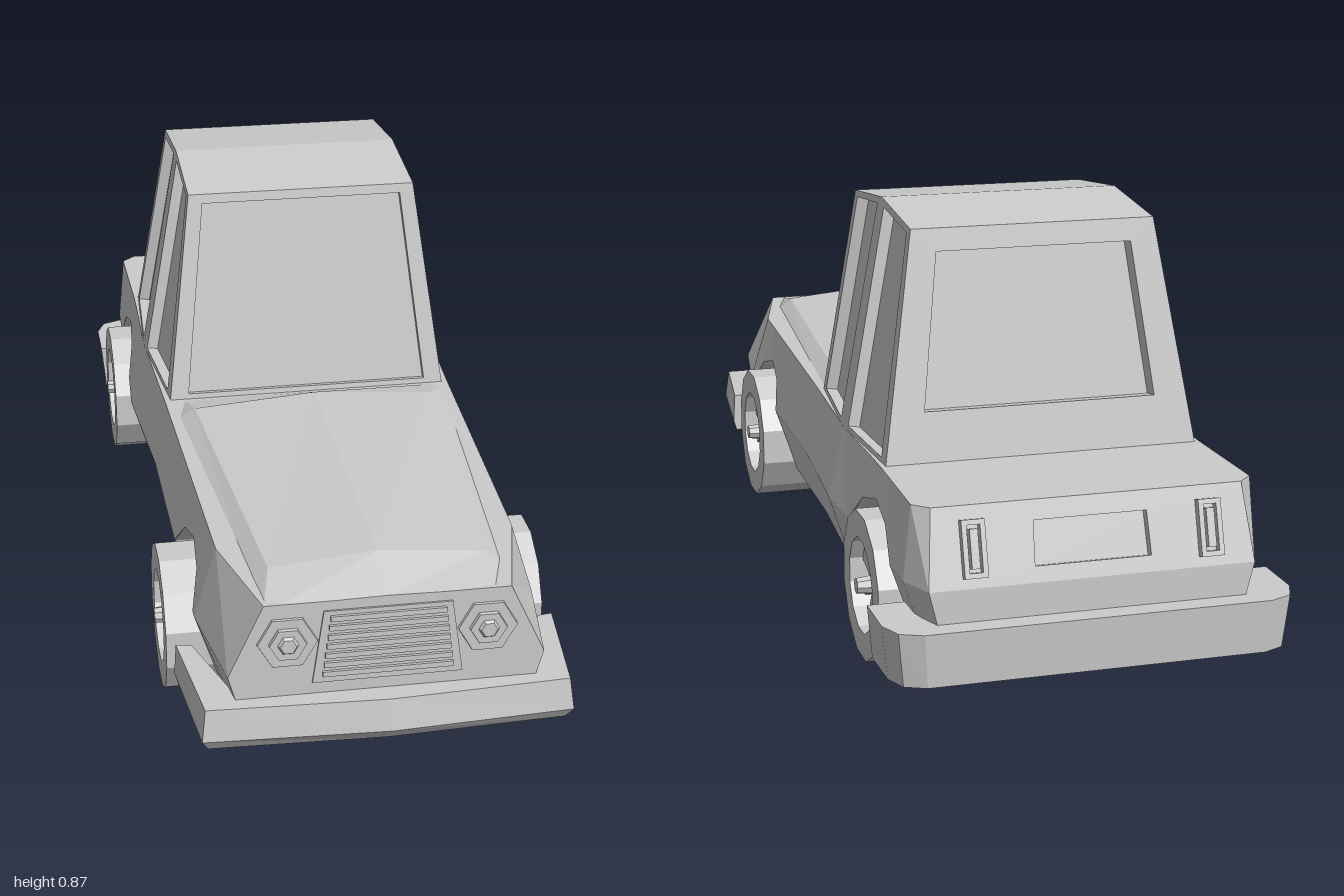
import * as THREE from 'three';

const mat = new THREE.MeshStandardMaterial({ color: 0xcccccc, flatShading: true });
const shellMat = new THREE.MeshStandardMaterial({ color: 0xcccccc, flatShading: true, side: THREE.DoubleSide });
const lerp = THREE.MathUtils.lerp;

function add(parent, name, geometry, x = 0, y = 0, z = 0, material = mat) {
  const mesh = new THREE.Mesh(geometry, material);
  mesh.name = name;
  mesh.position.set(x, y, z);
  parent.add(mesh);
  return mesh;
}

// Flat-shaded surface from counter-clockwise polygons
function surface(polygons) {
  const pos = [];
  for (const p of polygons)
    for (let i = 1; i < p.length - 1; i++) pos.push(...p[0], ...p[i], ...p[i + 1]);
  const g = new THREE.BufferGeometry();
  g.setAttribute('position', new THREE.Float32BufferAttribute(pos, 3));
  g.computeVertexNormals();
  return g;
}

// Skin over matching closed rings, with optional end caps
function loft(rings, capStart = true, capEnd = true) {
  const faces = [], n = rings[0].length;
  for (let i = 0; i < rings.length - 1; i++)
    for (let j = 0; j < n; j++) {
      const k = (j + 1) % n;
      faces.push([rings[i][j], rings[i][k], rings[i + 1][k], rings[i + 1][j]]);
    }
  if (capStart) faces.push([...rings[0]].reverse());
  if (capEnd) faces.push(rings[rings.length - 1]);
  return surface(faces);
}

// Four-cornered panel with a recessed pane
function framedPanel(parent, name, [bl, br, tr, tl], [u0, u1, v0, v1], depth) {
  const V = (p) => new THREE.Vector3(...p);
  const at = (u, v) => V(bl).lerp(V(br), u).lerp(V(tl).lerp(V(tr), u), v);
  const normal = V(br).sub(V(bl)).cross(V(tl).sub(V(bl))).normalize();
  const outer = [bl, br, tr, tl];
  const holes = [at(u0, v0), at(u1, v0), at(u1, v1), at(u0, v1)];
  const inner = holes.map((p) => p.toArray());
  const deep = holes.map((p) => p.clone().addScaledVector(normal, -depth).toArray());
  const faces = [];
  for (let i = 0; i < 4; i++) {
    const k = (i + 1) % 4;
    faces.push([outer[i], outer[k], inner[k], inner[i]], [inner[i], inner[k], deep[k], deep[i]]);
  }
  add(parent, name + 'Frame', surface(faces), 0, 0, 0, shellMat);
  add(parent, name + 'Pane', surface([deep]), 0, 0, 0, shellMat);
}

const WHEELS = [-0.63, 0.525], ARCH = 0.177, AXLE = 0.148, DECK = 0.39;

// z, bottom half-width, waist half-width, deck half-width
const WIDTHS = [
  [-0.955, 0.29, 0.325, 0.31], [-0.88, 0.31, 0.355, 0.34], [-0.6, 0.32, 0.36, 0.335],
  [-0.33, 0.33, 0.375, 0.34], [0, 0.31, 0.352, 0.325], [0.7, 0.3, 0.346, 0.3], [0.94, 0.27, 0.31, 0.24],
];

function halfWidth(z, y) {
  let i = 0;
  while (i < WIDTHS.length - 2 && z > WIDTHS[i + 1][0]) i++;
  const a = WIDTHS[i], b = WIDTHS[i + 1], t = (z - a[0]) / (b[0] - a[0]);
  const [low, mid, top] = [1, 2, 3].map((k) => lerp(a[k], b[k], t));
  return y < 0.24 ? lerp(low, mid, (y - 0.1) / 0.14) : lerp(mid, top, (y - 0.24) / 0.15);
}

function buildBody(car) {
  // Columns along the car; the lower edge rises over each wheel
  const columns = [-0.955, -0.88, -0.33, 0, 0.2, 0.94].map((z) => [z, 0.1]);
  for (const c of WHEELS) {
    columns.push([c - ARCH, 0.1]);
    for (let i = 0; i <= 6; i++) {
      const a = Math.PI * (1 - i / 6);
      columns.push([c + ARCH * Math.cos(a), AXLE + ARCH * Math.sin(a)]);
    }
    columns.push([c + ARCH + 1e-4, 0.1]);
  }
  columns.sort((a, b) => a[0] - b[0]);
  const rings = columns.map(([z, yb]) => {
    const mid = Math.max(0.24, yb), topZ = Math.max(z, -0.91);
    const half = [
      [0.21, 0.1, z], [0.21, yb, z], [halfWidth(z, yb), yb, z],
      [halfWidth(z, mid), mid, z], [halfWidth(z, DECK), DECK, z < -0.9 ? topZ : z],
    ];
    return [...half, ...half.map(([x, y, d]) => [-x, y, d]).reverse()];
  });
  add(car, 'body', loft(rings, false, true), 0, 0, 0, shellMat);

  // Tail: lower panel, and upper panel with the plate recess
  const [r] = rings;
  add(car, 'lowerTail', surface([[r[2], r[7], r[6], r[3]]]), 0, 0, 0, shellMat);
  framedPanel(car, 'plateRecess', [r[3], r[6], r[5], r[4]], [0.32, 0.68, 0.2, 0.75], 0.02);

  // Crowned hood: z, edge half-width, shoulder half-width, shoulder y, crown y
  const hood = [
    [0.005, 0.315, 0.28, 0.39, 0.392], [0.09, 0.308, 0.268, 0.41, 0.43],
    [0.83, 0.25, 0.215, 0.41, 0.43], [0.94, 0.24, 0.21, 0.388, 0.392],
  ].map(([z, e, s, ys, yc]) => [
    [-e, 0.385, z], [e, 0.385, z], [s, ys, z], [0, yc, z], [-s, ys, z],
  ]);
  add(car, 'hood', loft(hood));
}

function buildCabin(car) {
  const cabin = new THREE.Group();
  cabin.name = 'cabin';
  car.add(cabin);
  // Base and roof corner at the front, middle and rear, on the left
  const base = [[0.312, DECK, -0.005], [0.341, DECK, -0.32], [0.325, DECK, -0.63]];
  const roof = [[0.253, 0.847, -0.085], [0.253, 0.872, -0.32], [0.253, 0.847, -0.555]];
  const flip = ([x, y, z]) => [-x, y, z];
  framedPanel(cabin, 'windscreen', [flip(base[0]), base[0], roof[0], flip(roof[0])], [0.065, 0.935, 0.025, 0.955], 0.015);
  framedPanel(cabin, 'rearWindow', [base[2], flip(base[2]), flip(roof[2]), roof[2]], [0.11, 0.89, 0.22, 0.9], 0.04);
  for (let i = 0; i < 2; i++) {
    const name = ['frontWindow', 'backWindow'][i];
    const corners = [base[i], base[i + 1], roof[i + 1], roof[i]];
    const mirrored = [base[i + 1], base[i], roof[i], roof[i + 1]].map(flip);
    framedPanel(cabin, name + 'Left', corners, [0.12, 0.89, 0.02, 0.97], 0.025);
    framedPanel(cabin, name + 'Right', mirrored, [0.11, 0.88, 0.02, 0.97], 0.025);
  }
  add(cabin, 'roof', surface([0, 1].map((i) =>
    [flip(roof[i]), roof[i], roof[i + 1], flip(roof[i + 1])])), 0, 0, 0, shellMat);
}

// Bumper from plan stations [outer x, outer z, inner x, inner z] and profile [reach, y]
function bumper(car, name, stations, profile) {
  const rings = stations.map(([ox, oz, ix, iz]) =>
    profile.map(([t, y]) => [lerp(ix, ox, t), y, lerp(iz, oz, t)]));
  add(car, name, loft(rings));
}

function buildWheel(car, x, z, side) {
  const wheel = new THREE.Group();
  wheel.name = 'wheel';
  wheel.position.set(x, AXLE, z);
  wheel.rotation.y = side * Math.PI / 2; // local +z points outward
  car.add(wheel);
  const ring = (n, r) => Array.from({ length: n }, (_, i) => {
    const a = ((i + 0.5) / n) * Math.PI * 2;
    return new THREE.Vector2(r * Math.cos(a), r * Math.sin(a));
  });
  const tyre = new THREE.Shape(ring(12, 0.153));
  tyre.holes.push(new THREE.Path(ring(12, 0.098)));
  add(wheel, 'tyre', new THREE.ExtrudeGeometry(tyre, { depth: 0.145, bevelEnabled: false }), 0, 0, -0.0725);
  // Wedge spokes around a hub
  const wedge = new THREE.Shape([[0.01, -0.007], [0.1, -0.017], [0.1, 0.017], [0.01, 0.007]].map((p) => new THREE.Vector2(...p)));
  const spoke = new THREE.ExtrudeGeometry(wedge, { depth: 0.02, bevelEnabled: false });
  for (let i = 0; i < 8; i++)
    add(wheel, 'spoke', spoke, 0, 0, 0.025).rotation.z = ((i + 0.5) * Math.PI) / 4;
  add(wheel, 'hub', new THREE.CylinderGeometry(0.016, 0.022, 0.06, 8), 0, 0, 0.052).rotation.x = Math.PI / 2;
}

function buildLights(car) {
  for (const s of [-1, 1]) {
    // Hexagonal headlight: plate, raised ring and lens
    const hex = (name, r0, r1, depth, z) => {
      const g = new THREE.CylinderGeometry(r1, r0, depth, 6);
      g.rotateY(Math.PI / 6).rotateX(Math.PI / 2);
      add(car, name, g, s * 0.195, 0.308, z);
    };
    hex('headlightPlate', 0.06, 0.058, 0.008, 0.941);
    hex('headlightRing', 0.038, 0.036, 0.014, 0.946);
    hex('headlightLens', 0.024, 0.016, 0.01, 0.954);
    // Tail light: frame around a narrow lens, leaning with the tail
    const tail = new THREE.Group();
    tail.name = 'tailLight';
    tail.position.set(s * 0.235, 0.312, -0.936);
    tail.rotation.x = 0.29;
    car.add(tail);
    for (const k of [-1, 1]) {
      add(tail, 'lightFrameSide', new THREE.BoxGeometry(0.01, 0.11, 0.03), k * 0.018);
      add(tail, 'lightFrameEnd', new THREE.BoxGeometry(0.046, 0.01, 0.03), 0, k * 0.05);
    }
    add(tail, 'lightLens', new THREE.BoxGeometry(0.016, 0.075, 0.03));
  }
  // Grille plate with slats
  const plate = new THREE.Shape([[-0.147, 0.215], [0.147, 0.215], [0.125, 0.37], [-0.125, 0.37]].map((p) => new THREE.Vector2(...p)));
  add(car, 'grillePlate', new THREE.ExtrudeGeometry(plate, { depth: 0.004, bevelEnabled: false }), 0, 0, 0.94);
  for (let i = 0; i < 7; i++)
    add(car, 'grilleSlat', new THREE.BoxGeometry(0.225 + i * 0.005, 0.011, 0.01), 0, 0.355 - i * 0.02, 0.945);
}

export function createModel() {
  const car = new THREE.Group();
  car.name = 'car';
  buildBody(car);
  buildCabin(car);
  bumper(car, 'frontBumper', [
    [0.39, 0.72, 0.355, 0.725], [0.365, 0.978, 0.3, 0.9], [0, 0.997, 0, 0.9],
    [-0.365, 0.978, -0.3, 0.9], [-0.39, 0.72, -0.355, 0.725],
  ], [[0, 0.1], [0.8, 0.1], [1, 0.125], [0.88, 0.19], [0, 0.19]]);
  bumper(car, 'rearBumper', [
    [-0.41, -0.815, -0.33, -0.815], [-0.41, -0.93, -0.31, -0.9], [-0.39, -0.98, -0.3, -0.92], [-0.345, -1, -0.28, -0.93],
    [0.345, -1, 0.28, -0.93], [0.39, -0.98, 0.3, -0.92], [0.41, -0.93, 0.31, -0.9], [0.41, -0.815, 0.33, -0.815],
  ], [[0, 0.067], [0.88, 0.067], [1, 0.175], [0, 0.175]]);
  for (const z of WHEELS) {
    buildWheel(car, 0.306, z, 1);
    buildWheel(car, -0.328, z, -1);
  }
  buildLights(car);
  return car;
}
